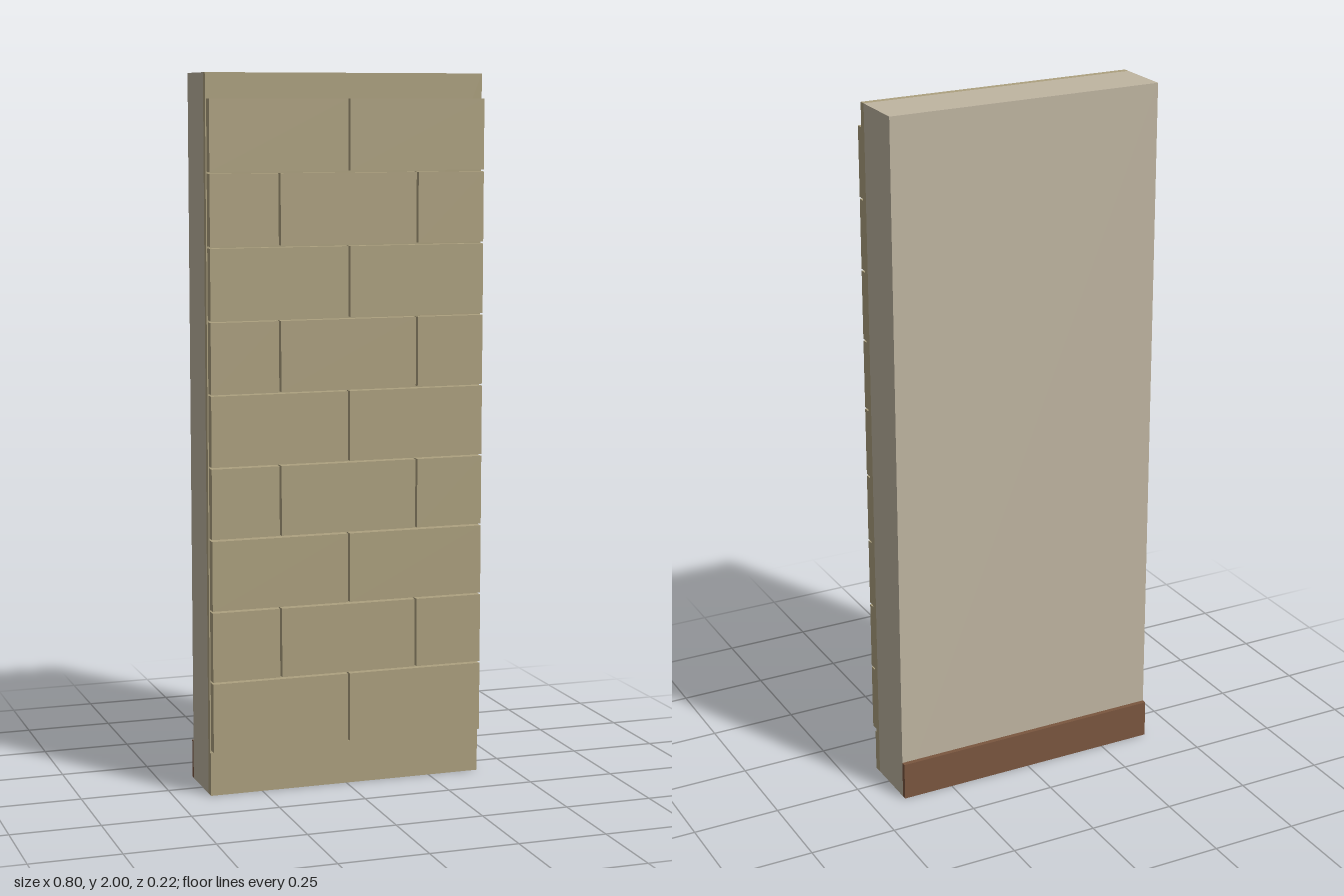
import * as THREE from 'three';

const plaster = new THREE.MeshStandardMaterial({ color: 0xbfb5a1 });
const stone = new THREE.MeshStandardMaterial({ color: 0xada17f });
const wood = new THREE.MeshStandardMaterial({ color: 0x7a563f });

// Box given by its minimum and maximum on each axis
function slab(name, material, [x0, x1], [y0, y1], [z0, z1]) {
  const mesh = new THREE.Mesh(new THREE.BoxGeometry(x1 - x0, y1 - y0, z1 - z0), material);
  mesh.position.set((x0 + x1) / 2, (y0 + y1) / 2, (z0 + z1) / 2);
  mesh.name = name;
  return mesh;
}

export function createModel() {
  const model = new THREE.Group();
  model.name = 'wallPanel';
  const half = 0.4;
  const width = [-half, half];

  // Wall core, facing backing and skirting board on the back
  model.add(slab('wallCore', plaster, width, [0, 2], [-0.096, 0.063]));
  model.add(slab('facingBacking', stone, width, [0, 2], [0.063, 0.082]));
  model.add(slab('plinth', stone, width, [0, 0.123], [0.082, 0.088]));
  model.add(slab('skirtingBoard', wood, width, [0, 0.11], [-0.11, -0.096]));

  // Nine courses of blocks in running bond, with narrow open joints
  const blocks = new THREE.Group();
  blocks.name = 'stoneBlocks';
  const gap = 0.003;
  for (let row = 0; row < 9; row++) {
    const y = 0.127 + row * 0.2008;
    const joints = row % 2 ? [-half, -0.2, 0.2, half] : [-half, 0, half];
    for (let i = 0; i < joints.length - 1; i++) {
      blocks.add(slab('stoneBlock', stone,
        [joints[i] + gap, joints[i + 1] - gap],
        [y + gap / 2, y + 0.2 - gap], [0.07, 0.11]));
    }
  }
  model.add(blocks);
  return model;
}
